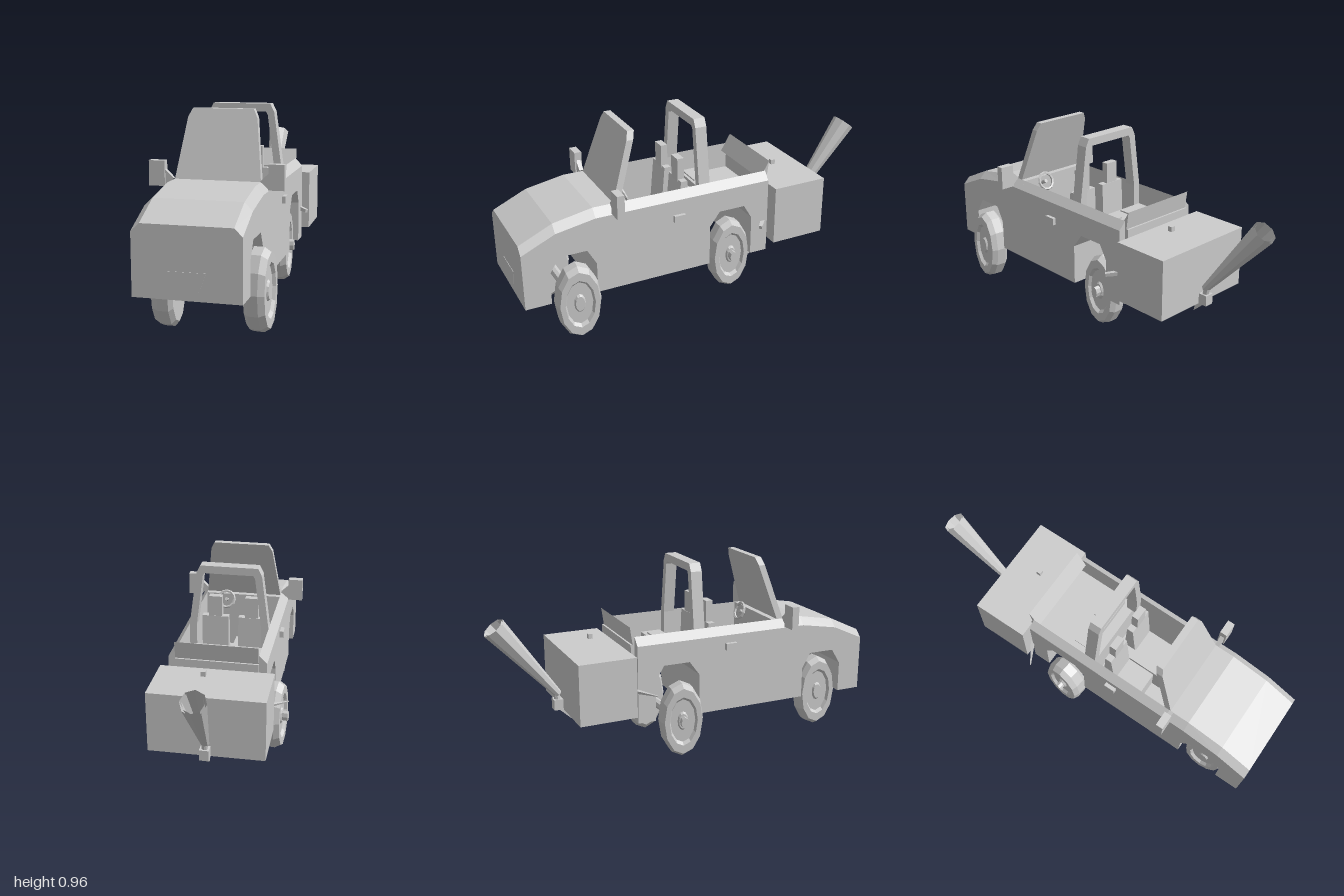
import * as THREE from 'three';

export function createModel() {
  const root = new THREE.Group();
  root.name = 'openTruck';
  const grey = new THREE.MeshStandardMaterial({ color: 0xcccccc, flatShading: true, side: THREE.DoubleSide });
  grey.name = 'plainGrey';
  const XL = -0.23, XR = 0.262, IL = -0.19, IR = 0.225;

  const add = (name, geo, parent = root) => {
    const mesh = new THREE.Mesh(geo, grey);
    mesh.name = name;
    parent.add(mesh);
    return mesh;
  };
  // box from its limits
  const box = (name, x0, x1, y0, y1, z0, z1) => {
    const mesh = add(name, new THREE.BoxGeometry(x1 - x0, y1 - y0, z1 - z0));
    mesh.position.set((x0 + x1) / 2, (y0 + y1) / 2, (z0 + z1) / 2);
    return mesh;
  };
  const shapeOf = pts => new THREE.Shape(pts.map(p => new THREE.Vector2(...p)));
  // (z, y) outline pulled across x
  const across = (name, pts, x0, x1) => {
    const geo = new THREE.ExtrudeGeometry(shapeOf(pts), { depth: x1 - x0, bevelEnabled: false });
    geo.rotateY(-Math.PI / 2).translate(x1, 0, 0);
    return add(name, geo);
  };
  // (x, y) outline pulled along z
  const along = (name, shape, z0, z1) => {
    const geo = new THREE.ExtrudeGeometry(shape, { depth: z1 - z0, bevelEnabled: false });
    return add(name, geo.translate(0, 0, z0));
  };
  // skin through closed rings of points, capped at both ends
  const loft = (name, rings) => {
    const n = rings[0].length, idx = [];
    for (let r = 0; r < rings.length - 1; r++) {
      for (let i = 0; i < n; i++) {
        const a = r * n + i, b = r * n + (i + 1) % n;
        idx.push(a, b, b + n, a, b + n, a + n);
      }
    }
    const end = (rings.length - 1) * n;
    for (let i = 1; i < n - 1; i++) idx.push(0, i + 1, i, end, end + i, end + i + 1);
    const geo = new THREE.BufferGeometry();
    geo.setAttribute('position', new THREE.Float32BufferAttribute(rings.flat(2), 3));
    geo.setIndex(idx);
    geo.computeVertexNormals();
    return add(name, geo);
  };
  // thin rod between two points
  const rod = (name, a, b, r0, r1 = r0, sides = 8, open = false) => {
    const p = new THREE.Vector3(...a), d = new THREE.Vector3(...b).sub(p);
    const mesh = add(name, new THREE.CylinderGeometry(r1, r0, d.length(), sides, 1, open));
    mesh.position.copy(p).addScaledVector(d, 0.5);
    mesh.quaternion.setFromUnitVectors(new THREE.Vector3(0, 1, 0), d.normalize());
    return mesh;
  };

  // underside outline with both wheel arches, front to back
  const under = [
    [1, 0.2], [0.87, 0.2], [0.87, 0.36], [0.82, 0.44], [0.68, 0.44], [0.635, 0.36], [0.635, 0.2],
    [0.025, 0.2], [0.025, 0.41], [-0.03, 0.485], [-0.17, 0.485], [-0.215, 0.41], [-0.215, 0.2], [-0.31, 0.2]];
  const shoulder = [[0.63, 0.6], [0.83, 0.565], [1, 0.488]];
  across('chassis', [...under, [-0.31, 0.5], [0.045, 0.5], [0.045, 0.25], [0.46, 0.25], [0.46, 0.6], ...shoulder],
    IL, IR);
  for (const [x0, x1] of [[XL, IL], [IR, XR]]) {
    across('sideWall', [...under, [-0.31, 0.6], ...shoulder], x0, x1);
  }

  // bonnet with bevelled edges, and rails beside the cabin
  loft('bonnet', [[0.46, 0.6, 0.64], [0.63, 0.6, 0.64], [0.83, 0.565, 0.603], [1, 0.488, 0.525]].map(
    ([z, ys, yt]) => [[XL, ys, z], [XR, ys, z], [IR, yt, z], [IL, yt, z]]));
  along('rightRail', shapeOf([[XL, 0.6], [IL, 0.6], [IL, 0.64]]), -0.31, 0.46);
  along('leftRail', shapeOf([[IR, 0.6], [XR, 0.6], [IR, 0.64]]), -0.31, 0.46);
  along('numberPlate', shapeOf([[-0.07, 0.325], [-0.052, 0.24], [0.07, 0.24], [0.105, 0.325]]), 0.997, 1.002);

  // windscreen, leaning back
  const frame = [[IL, 0.64], [IR, 0.64], [0.185, 0.925], [0.165, 0.965], [-0.132, 0.965], [-0.152, 0.925]];
  const screen = along('windscreen', shapeOf(frame), 0, 0.035);
  screen.geometry.applyMatrix4(new THREE.Matrix4().set(
    1, 0, 0, 0, 0, 1, 0, 0, 0, -0.33, 1, 0.64 * 0.33 + 0.49, 0, 0, 0, 1));

  // roll hoop
  along('rollHoop', shapeOf([...frame, [IL, 0.5], [-0.15, 0.5], [-0.15, 0.64], [-0.118, 0.91], [-0.11, 0.925],
    [0.145, 0.925], [0.152, 0.91], [0.186, 0.64], [0.186, 0.5], [IR, 0.5]].filter((p, i) => i > 0).concat([])
    .sort(() => 0)), 0.01, 0.07).geometry = hoopGeometry();
  function hoopGeometry() {
    const s = shapeOf([[IL, 0.5], [-0.152, 0.5], [-0.152, 0.64], [-0.117, 0.91], [-0.108, 0.925], [0.143, 0.925],
      [0.152, 0.91], [0.187, 0.64], [0.187, 0.5], [IR, 0.5], ...frame.slice(1), frame[0]]);
    return new THREE.ExtrudeGeometry(s, { depth: 0.06, bevelEnabled: false }).translate(0, 0, 0.01);
  }

  // front seats
  for (const x of [-0.085, 0.108]) {
    box('seatCushion', x - 0.07, x + 0.07, 0.25, 0.4, 0.13, 0.32);
    across('seatBack', [[0.17, 0.38], [0.145, 0.65], [0.11, 0.65], [0.1, 0.38]], x - 0.07, x + 0.07);
    box('headrest', x - 0.035, x + 0.035, 0.64, 0.76, 0.112, 0.148);
  }
  box('console', -0.015, 0.04, 0.25, 0.42, 0.06, 0.37);
  // rear bench with two pads
  box('rearBench', -0.17, 0.2, 0.5, 0.54, -0.12, -0.01);
  for (const x of [-0.075, 0.1]) box('benchPad', x - 0.058, x + 0.058, 0.54, 0.547, -0.1, -0.025);
  const steering = add('steeringWheel', new THREE.TorusGeometry(0.045, 0.008, 5, 12));
  steering.position.set(0.108, 0.62, 0.43);
  steering.rotation.x = 0.4;
  rod('steeringColumn', [0.108, 0.62, 0.43], [0.108, 0.59, 0.49], 0.01);

  // mirrors and door handles
  for (const [s, edge, x0, x1] of [[-1, IL, -0.31, -0.232], [1, IR, 0.265, 0.34]]) {
    box('mirror', x0, x1, 0.607, 0.727, 0.512, 0.55);
    const near = s < 0 ? x1 : x0;
    along('mirrorArm', shapeOf([[edge, 0.645], [near, 0.61], [near, 0.685]]), 0.52, 0.542);
  }
  box('leftHandle', XR, 0.28, 0.487, 0.523, 0.168, 0.228);
  box('rightHandle', -0.25, XL, 0.525, 0.56, 0.168, 0.228);

  // oval wheels, knocked out of line
  const tyre = [[0, -0.05], [0.1, -0.05], [0.17, -0.05], [0.195, -0.03], [0.195, 0.02], [0.175, 0.05],
    [0.13, 0.05], [0.115, 0.035], [0.05, 0.035], [0.04, 0.045], [0, 0.045]].map(p => new THREE.Vector2(...p));
  for (const [name, x, z, s, yaw] of [
    ['frontLeftWheel', 0.276, 0.745, 1, -0.08], ['frontRightWheel', -0.145, 0.765, -1, 0],
    ['rearLeftWheel', 0.183, -0.12, 1, 0], ['rearRightWheel', -0.243, -0.085, -1, -0.12]]) {
    const wheel = new THREE.Group();
    wheel.name = name;
    add('tyre', new THREE.LatheGeometry(tyre, 12).rotateZ(-s * Math.PI / 2).scale(1, 1, 0.57), wheel);
    if (z < 0) {
      const hub = add('hub', new THREE.CylinderGeometry(0.03, 0.03, 0.05, 8).rotateZ(Math.PI / 2), wheel);
      hub.position.x = s * 0.05;
      hub.scale.z = 0.65;
    }
    wheel.position.set(x, 0.197, z);
    wheel.rotation.y = yaw;
    root.add(wheel);
  }
  rod('frontAxle', [-0.12, 0.19, 0.76], [0.26, 0.19, 0.75], 0.024);
  rod('rearAxle', [-0.24, 0.195, -0.09], [0.18, 0.195, -0.12], 0.024);

  // tailgate and its bent upper lip
  box('tailgate', IL, IR, 0.25, 0.6, -0.33, -0.31);
  across('tailgateLip', [[-0.28, 0.6], [-0.32, 0.6], [-0.333, 0.69]], IL, IR);
  // bent bumper pieces under the tail
  across('bumper', [[-0.22, 0.15], [-0.35, 0.2], [-0.35, 0.24], [-0.24, 0.21]], -0.1, 0.2);
  rod('leftBumperBracket', [0.23, 0.37, -0.31], [0.3, 0.36, -0.25], 0.016, 0.012, 4);
  rod('rightBumperBracket', [-0.22, 0.37, -0.32], [-0.335, 0.372, -0.25], 0.012, 0.003, 4);

  // rear crate
  const crate = box('crate', -0.272, 0.297, 0.25, 0.56, -0.628, -0.332);
  crate.rotation.y = 0.008;
  box('crateLatch', 0.043, 0.067, 0.585, 0.61, -0.468, -0.445);

  // hollow flared pipe on a bracket
  rod('pipe', [0.01, 0.33, -0.647], [-0.008, 0.714, -0.955], 0.02, 0.06, 8, true);
  rod('pipeLining', [0.01, 0.34, -0.655], [-0.008, 0.714, -0.955], 0.014, 0.05, 8, true);
  rod('pipeNeck', [0.012, 0.27, -0.645], [0.01, 0.36, -0.663], 0.016);
  box('pipeBracket', -0.012, 0.035, 0.25, 0.305, -0.675, -0.625);
  across('pipeSpike', [[-0.585, 0.19], [-0.66, 0.26], [-0.6, 0.26]], 0, 0.02);
  return root;
}
